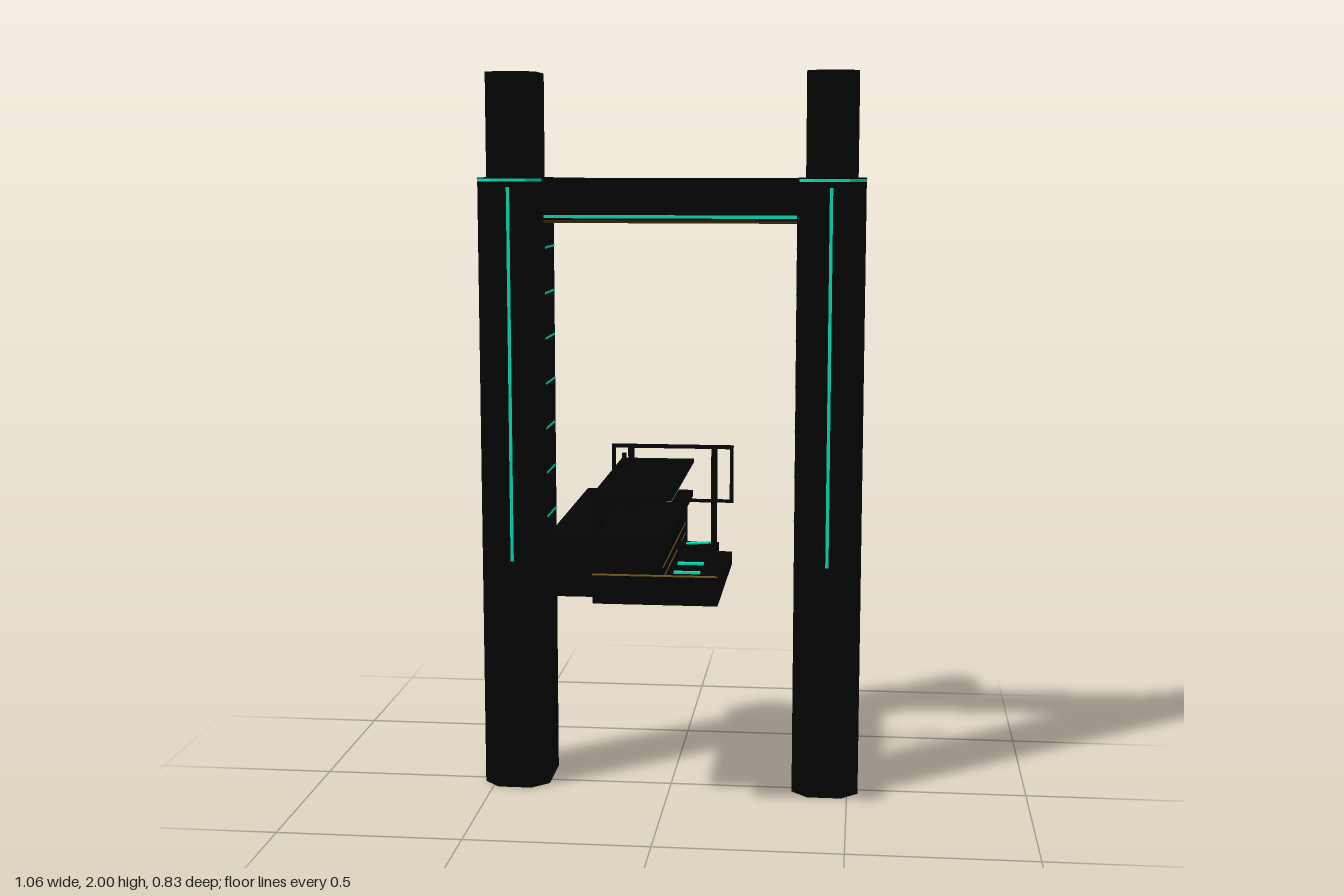
import * as THREE from 'three';

const mat = (name, color) => {
  const m = new THREE.MeshStandardMaterial({ color });
  m.name = name;
  return m;
};

export function createModel() {
  const black = mat('black metal', 0x040404);
  const teal = mat('teal light', 0x00e4ba);
  const bronze = mat('bronze trim', 0x6c5218);
  const umber = mat('dark bronze', 0x342708);
  const pale = mat('pale light', 0xcfe4e8);
  const model = new THREE.Group();

  const add = (parent, name, geo, material) => {
    const mesh = new THREE.Mesh(geo, material);
    mesh.name = name;
    parent.add(mesh);
    return mesh;
  };
  // Box given by its lower and upper limits on each axis
  const box = (parent, name, material, x0, x1, y0, y1, z0, z1) => {
    const mesh = add(parent, name, new THREE.BoxGeometry(x1 - x0, y1 - y0, z1 - z0), material);
    mesh.position.set((x0 + x1) / 2, (y0 + y1) / 2, (z0 + z1) / 2);
    return mesh;
  };
  // Upright prism with chamfered corners
  const prism = (parent, name, material, w, d, c, y0, y1) => {
    const a = w / 2, b = d / 2;
    const shape = new THREE.Shape([
      [a, -b + c], [a, b - c], [a - c, b], [-a + c, b],
      [-a, b - c], [-a, -b + c], [-a + c, -b], [a - c, -b],
    ].map(p => new THREE.Vector2(...p)));
    const geo = new THREE.ExtrudeGeometry(shape, { depth: y1 - y0, bevelEnabled: false });
    geo.rotateX(-Math.PI / 2);
    add(parent, name, geo, material).position.y = y0;
  };

  // Two towers with light strips and inner rungs
  for (const s of [-1, 1]) {
    const tower = new THREE.Group();
    tower.name = s < 0 ? 'rightTower' : 'leftTower';
    tower.position.set(s * 0.4375, 0, -0.045);
    prism(tower, 'towerShaft', black, 0.185, 0.245, 0.045, 0, 1.715);
    prism(tower, 'towerRim', teal, 0.187, 0.247, 0.0455, 1.705, 1.713);
    prism(tower, 'towerTop', black, 0.14, 0.2, 0.035, 1.715, 2);
    for (const f of [-1, 1]) {
      const z = f * 0.1225;
      box(tower, 'lightStrip', teal, -0.0045, 0.0045, 0.655, 1.69, z - 0.0015, z + 0.0015);
    }
    for (let i = 0; i < 8; i++) {
      const y = 0.65 + i * 0.125, x = -s * 0.0925;
      box(tower, 'rung', teal, x - 0.0015, x + 0.0015, y - 0.003, y + 0.003, -0.075, 0.075);
    }
    model.add(tower);
  }

  // Crossbeam
  const beam = new THREE.Group();
  beam.name = 'crossbeam';
  box(beam, 'beamBody', black, -0.35, 0.35, 1.601, 1.713, -0.137, 0.045);
  box(beam, 'beamSoffit', umber, -0.345, 0.345, 1.593, 1.601, -0.137, 0.045);
  for (const z of [-0.137, 0.045])
    box(beam, 'beamLight', teal, -0.345, 0.345, 1.606, 1.615, z - 0.0015, z + 0.0015);
  model.add(beam);

  // Suspended platform hull with a lip and trim lines
  const platform = new THREE.Group();
  platform.name = 'platform';
  box(platform, 'hull', black, -0.297, 0.006, 0.62, 0.76, -0.418, 0.33);
  box(platform, 'hullTop', black, -0.297, 0.022, 0.758, 0.778, -0.418, 0.33);
  for (const y of [0.632, 0.66, 0.69])
    box(platform, 'trimLine', bronze, 0.004, 0.008, y - 0.002, y + 0.002, -0.345, 0.265);
  box(platform, 'undersideLight', teal, -0.183, -0.177, 0.618, 0.621, -0.02, 0.24);

  // Side deck and its skewed end piece
  box(platform, 'sideDeck', black, 0, 0.163, 0.62, 0.655, -0.12, 0.3);
  box(platform, 'endDeck', black, 0, 0.12, 0.625, 0.668, -0.187, -0.1);
  for (const z of [0.066, 0.18, 0.291])
    box(platform, 'deckLight', teal, 0.026, 0.098, 0.654, 0.661, z - 0.007, z + 0.007);
  const skew = box(platform, 'endDeckLight', teal, 0.028, 0.104, 0.667, 0.672, -0.165, -0.149);
  skew.rotation.y = 0.34;

  // Sloped front apron, extruded along x from its side profile
  const side = new THREE.Shape([[-0.298, 0.62], [-0.403, 0.62], [-0.403, 0.688], [-0.415, 0.699], [-0.298, 0.66]]
    .map(p => new THREE.Vector2(...p)));
  const apron = new THREE.ExtrudeGeometry(side, { depth: 0.326, bevelEnabled: false });
  apron.rotateY(Math.PI / 2);
  add(platform, 'frontApron', apron, black).position.x = -0.163;
  box(platform, 'apronEdge', bronze, -0.163, 0.163, 0.698, 0.7, 0.402, 0.416);

  // Back screen and thin canopy with a light below its open edge
  box(platform, 'backScreen', black, -0.182, -0.172, 0.775, 0.862, -0.35, 0.27);
  for (const z of [-0.355, 0.265])
    box(platform, 'canopyPost', black, -0.184, -0.172, 0.775, 0.897, z - 0.006, z + 0.006);
  box(platform, 'canopy', black, -0.186, 0.03, 0.872, 0.881, -0.37, 0.283);
  box(platform, 'canopyLight', pale, 0.012, 0.03, 0.8695, 0.872, -0.36, 0.275);

  // Railing frame across the platform
  const rail = (name, x0, x1, y0, y1) => box(platform, name, black, x0, x1, y0, y1, -0.05, -0.04);
  rail('topRail', -0.172, 0.169, 0.963, 0.973);
  rail('lowerRail', -0.172, 0.169, 0.811, 0.819);
  for (const s of [-1, 1]) {
    rail('railEnd', s * 0.166 - 0.005, s * 0.166 + 0.005, 0.811, 0.973);
    const x = s * 0.117;
    box(platform, 'railPost', black, x - 0.008, x + 0.008, 0.64, 0.973, -0.053, -0.037);
  }
  model.add(platform);
  return model;
}
